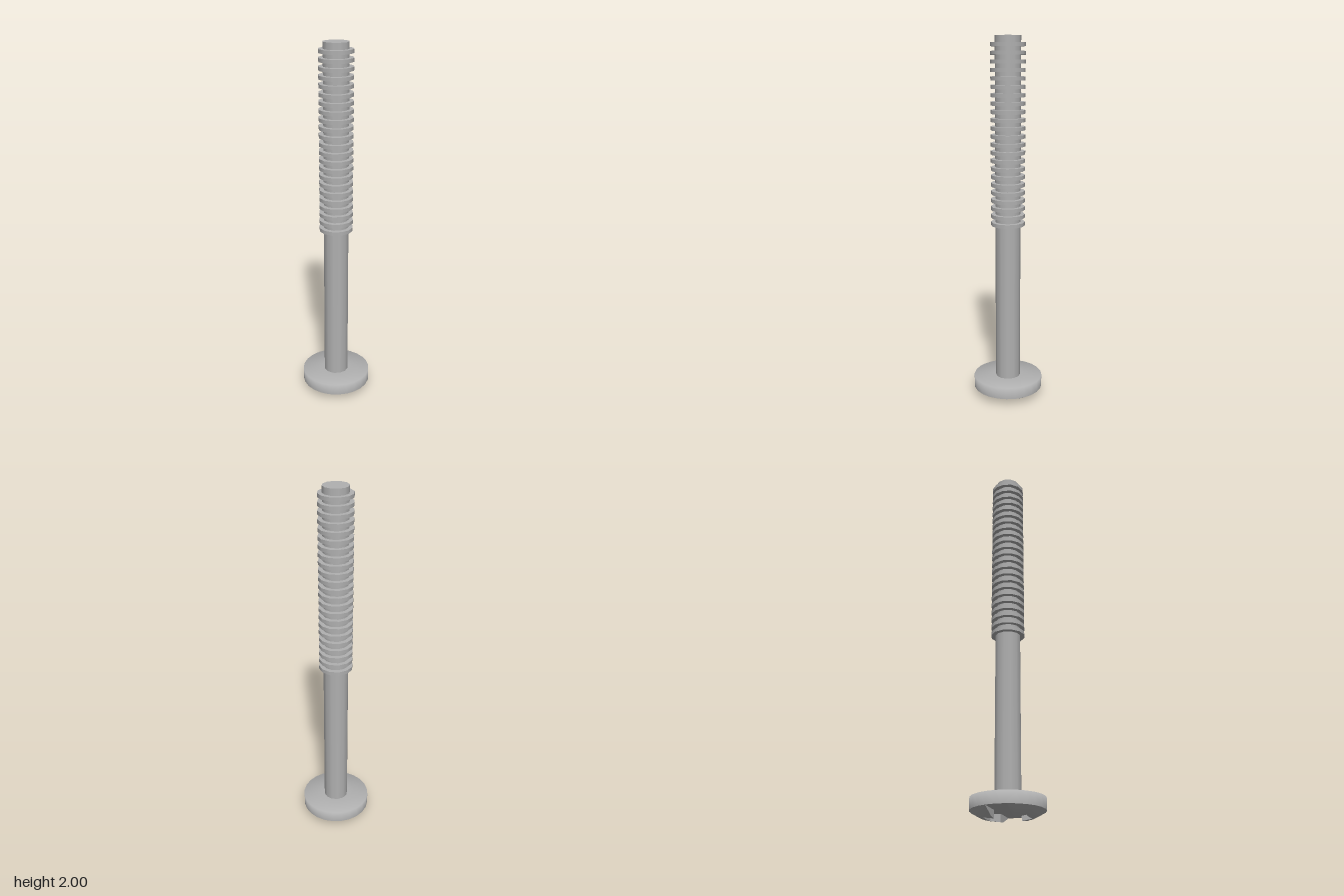
import * as THREE from 'three';

const HEAD_R = 0.193, HEAD_TOP = 0.107, FLOOR = 0.043;
const SHANK_R = 0.069, THREAD_R = 0.093;
const SLOT = 0.055, ARM = 0.053, ARM_END = 0.11; // half sizes of the cross recess

// radius of the 24-sided head outline at an angle
function outline(a) {
  const step = Math.PI / 12;
  const off = a - (Math.floor(a / step) + 0.5) * step;
  return HEAD_R * Math.cos(step / 2) / Math.cos(off);
}

// radius of the cross recess wall at an angle
function recess(a) {
  const s = Math.abs(Math.sin(a)), c = Math.max(Math.abs(Math.cos(a)), 1e-6);
  return Math.min(outline(a), Math.max(SLOT / s, Math.min(ARM / c, ARM_END / s)));
}

// height of the domed face at a radius
function domeY(r) {
  const pts = [[0.07, 0], [0.14, 0.013], [HEAD_R, FLOOR]];
  if (r <= pts[0][0]) return 0;
  const i = r <= pts[1][0] ? 0 : 1;
  const [r0, y0] = pts[i], [r1, y1] = pts[i + 1];
  return y0 + (y1 - y0) * Math.min(1, (r - r0) / (r1 - r0));
}

// one half of the dome: its curved face and the recess walls
function halfDome() {
  const start = Math.asin(SLOT / (HEAD_R * 0.994));
  const corners = [start, Math.atan2(SLOT, ARM), Math.atan2(ARM_END, ARM)];
  const angles = [...corners, ...corners.map(a => Math.PI - a)];
  for (let i = 1; i < 12; i++) {
    const a = i * Math.PI / 12;
    if (a > start && a < Math.PI - start) angles.push(a);
  }
  angles.sort((a, b) => a - b);

  const N = 6, pos = [], idx = [], wall = [];
  const point = (a, t) => {
    const R = outline(a), r = THREE.MathUtils.lerp(recess(a), R, t);
    return [r * Math.cos(a), domeY(r * HEAD_R / R), r * Math.sin(a)];
  };
  angles.forEach((a, i) => {
    for (let j = 0; j <= N; j++) pos.push(...point(a, j / N));
    if (i === angles.length - 1) return;
    for (let j = 0; j < N; j++) {
      const p = i * (N + 1) + j, q = p + N + 1;
      idx.push(p, p + 1, q, p + 1, q + 1, q);
    }
    const p = point(a, 0), q = point(angles[i + 1], 0);
    const pu = [p[0], FLOOR, p[2]], qu = [q[0], FLOOR, q[2]];
    wall.push(...p, ...q, ...pu, ...q, ...qu, ...pu);
  });

  const face = new THREE.BufferGeometry();
  face.setAttribute('position', new THREE.Float32BufferAttribute(pos, 3));
  face.setIndex(idx);
  face.computeVertexNormals();
  const walls = new THREE.BufferGeometry();
  walls.setAttribute('position', new THREE.Float32BufferAttribute(wall, 3));
  walls.computeVertexNormals();
  return { face, walls };
}

export function createModel() {
  const model = new THREE.Group();
  model.name = 'machineScrew';
  const steel = new THREE.MeshStandardMaterial({ color: 0xb0b0b0 });
  steel.name = 'steel grey';

  const add = (parent, name, geometry, y = 0) => {
    const mesh = new THREE.Mesh(geometry, steel);
    mesh.name = name;
    mesh.position.y = y;
    parent.add(mesh);
    return mesh;
  };
  const lathe = pts => new THREE.LatheGeometry(pts.map(p => new THREE.Vector2(...p)), 24);

  // head: rim with softly shaded top, recess floor, two dome halves
  const head = new THREE.Group();
  head.name = 'head';
  model.add(head);
  add(head, 'headRim', lathe([[HEAD_R, FLOOR], [HEAD_R, HEAD_TOP], [0.06, HEAD_TOP]]));
  add(head, 'recessFloor', lathe([[0, FLOOR], [HEAD_R, FLOOR]]));
  const { face, walls } = halfDome();
  for (const turn of [0, Math.PI]) {
    add(head, 'headDome', face).rotation.y = turn;
    add(head, 'recessWalls', walls).rotation.y = turn;
  }

  // shank
  const shankH = 2 - 0.1;
  add(model, 'shank', new THREE.CylinderGeometry(SHANK_R, SHANK_R, shankH, 12), 0.1 + shankH / 2);

  // thread ridges
  const thread = new THREE.Group();
  thread.name = 'thread';
  model.add(thread);
  const ridge = new THREE.CylinderGeometry(THREAD_R, THREAD_R, 0.02, 12);
  for (let i = 0; i < 23; i++) add(thread, 'threadRidge', ridge, 1.0 + i * 0.0434);

  return model;
}
